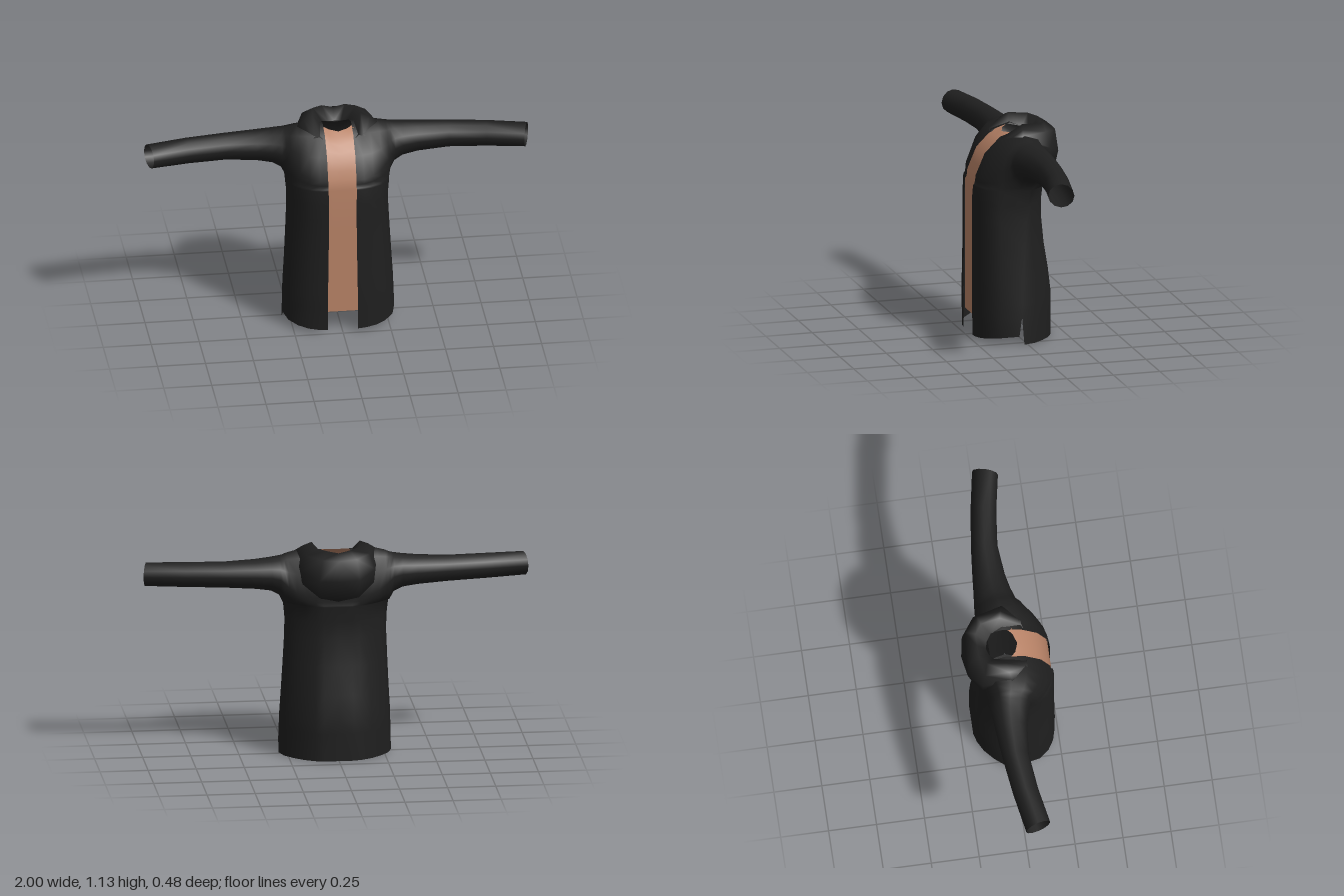
import * as THREE from 'three';
import { mergeGeometries, mergeVertices } from 'three/addons/utils/BufferGeometryUtils.js';

const lerp = THREE.MathUtils.lerp;
const rad = THREE.MathUtils.degToRad;

// Surface through rows of [x, y, z] points
function grid(rows, flip = false) {
  const n = rows[0].length, index = [];
  for (let r = 0; r < rows.length - 1; r++) {
    for (let c = 0; c < n - 1; c++) {
      const a = r * n + c, b = a + 1, d = a + n, e = d + 1;
      if (flip) index.push(a, d, b, b, d, e);
      else index.push(a, b, d, b, e, d);
    }
  }
  const g = new THREE.BufferGeometry();
  g.setAttribute('position', new THREE.Float32BufferAttribute(rows.flat(2), 3));
  g.setIndex(index);
  return g;
}

// The surface and its mirror image across x = 0
function both(rows, flip = false) {
  const mirrored = rows.map((row) => row.map(([x, y, z]) => [-x, y, z]));
  return [grid(rows, flip), grid(mirrored, !flip)];
}

function smooth(parts) {
  const g = mergeVertices(mergeGeometries(parts), 1e-3);
  g.computeVertexNormals();
  return g;
}

// Half outline of the torso, centre to side, as fractions of width and depth
const U = [0, 0.27, 0.42, 0.6, 0.78, 0.93, 1];
const FRONT = [1, 1, 0.98, 0.92, 0.79, 0.57];
const BACK = [1, 1, 0.93, 0.78, 0.53, 0.24];

// Torso rows: y, half width, front z, back z, side seam z
const ROWS = [
  [0.15, 0.29, 0.236, -0.187, 0.03],
  [0.22, 0.288, 0.238, -0.187, 0.025],
  [0.35, 0.28, 0.236, -0.172, 0.02],
  [0.5, 0.272, 0.235, -0.148, 0.01],
  [0.65, 0.265, 0.235, -0.133, 0],
  [0.74, 0.265, 0.236, -0.135, -0.01],
  [0.82, 0.273, 0.23, -0.145, -0.02],
];
const TOP = ROWS[ROWS.length - 1];

function outline([y, w, zf, zb, zs], front) {
  return U.map((u, i) => [u * w, y, i === 6 ? zs : front ? FRONT[i] * zf : BACK[i] * zb]);
}

// Section through the shoulder or sleeve, from the lower front end, over the top,
// to the lower back end. zf, zb and mid place its widest level.
function section(x, low, lowF, lowB, zf, zb, mid, top, skew = 0, slant = 0) {
  const cz = (zf + zb) / 2, rz = (zf - zb) / 2, pts = [];
  for (let deg = -90; deg <= 270; deg += 30) {
    const s = Math.sin(rad(deg)), c = Math.cos(rad(deg));
    const edge = deg < 90 ? zf : zb, end = deg < 90 ? lowF : lowB;
    const z = s < 0 ? lerp(edge, end, 1 - Math.abs(c)) : cz + rz * c - skew * s;
    pts.push([x - slant * c, mid + s * (s < 0 ? mid - low : top - mid), z]);
  }
  return pts;
}

function coatGeometry() {
  // Front panels and back panel, with side slits at the hem
  const frontHem = outline([0.02, 0.292, 0.235, 0, 0.045], true);
  frontHem.forEach((p, i) => { p[1] += 0.03 * Math.pow(U[i], 3); });
  const backHem = outline([0.006, 0.292, 0, -0.186, 0.018], false);
  const front = [frontHem, ...ROWS.map((r) => outline(r, true))].map((r) => r.slice(1));
  const back = [backHem, ...ROWS.map((r) => outline(r, false))];

  // Shoulders, growing out of the top row of the torso: front z, back z, level, top, backward lean
  const shoulders = [
    [0.217, -0.14, 0.87, 1.085, 0.05],
    [0.217, -0.14, 0.87, 1.098, 0.05],
    [0.213, -0.14, 0.87, 1.1, 0.05],
    [0.198, -0.138, 0.88, 1.1, 0.04],
    [0.165, -0.136, 0.9, 1.096, 0.025],
    [0.125, -0.132, 0.93, 1.086, 0.01],
  ];
  const sections = shoulders.map((s, i) =>
    section(U[i] * TOP[1], TOP[0], FRONT[i] * TOP[2], BACK[i] * TOP[3], ...s));

  // Sleeve rings: x, centre z, half depth, bottom, top, cuff slant
  const rings = [
    [TOP[1], TOP[4], 0.113, TOP[0], 1.079, 0],
    [0.295, -0.024, 0.106, 0.865, 1.074, 0],
    [0.34, -0.03, 0.096, 0.89, 1.068, 0],
    [0.42, -0.036, 0.084, 0.903, 1.061, 0],
    [0.58, -0.036, 0.069, 0.914, 1.053, 0],
    [0.78, -0.012, 0.066, 0.917, 1.05, 0.008],
    [0.982, 0.025, 0.065, 0.919, 1.043, 0.018],
  ];
  for (const [x, cz, rz, lo, hi, slant] of rings) {
    sections.push(section(x, lo, cz, cz, cz + rz, cz - rz, (lo + hi) / 2, hi, 0, slant));
  }
  const across = (cols) => cols[0].map((_, j) => cols.map((s) => s[j]));

  return smooth([
    ...both(front),
    ...both(back, true),
    ...both(across(sections.slice(1))),
    ...both(across(sections.slice(0, 2)).slice(7)),
  ]);
}

// Folded hood: sections from the front of the neck round to the back,
// each going from the inner edge over the fold to the tucked lower edge
function hoodGeometry() {
  const stations = [
    [[0.078, 1.05, 0.1], [0.1, 1.066, 0.09], [0.13, 1.062, 0.09], [0.16, 1.05, 0.09], [0.17, 1.03, 0.09], [0.16, 1.0, 0.09]],
    [[0.085, 1.09, 0], [0.125, 1.14, -0.02], [0.17, 1.12, -0.01], [0.207, 1.095, 0], [0.224, 1.07, 0.02], [0.21, 1.03, 0.02]],
    [[0.07, 1.075, -0.075], [0.11, 1.132, -0.12], [0.165, 1.1, -0.135], [0.192, 1.02, -0.15], [0.185, 0.95, -0.15], [0.16, 0.92, -0.11]],
    [[0.035, 1.06, -0.1], [0.06, 1.126, -0.155], [0.09, 1.09, -0.207], [0.105, 0.98, -0.22], [0.1, 0.885, -0.2], [0.08, 0.86, -0.12]],
    [[0, 1.055, -0.11], [0, 1.112, -0.155], [0, 1.085, -0.216], [0, 0.98, -0.238], [0, 0.872, -0.215], [0, 0.845, -0.13]],
  ];
  return smooth(both(stations));
}

// Shirt front: a straight strip that curves back to a scooped neckline
function shirtGeometry() {
  const xs = [-0.095, -0.05, 0, 0.05, 0.095];
  const rows = [0.12, 0.35, 0.6, 0.82].map((y) => xs.map((x) => [x, y, 0.222]));
  for (let k = 0; k <= 6; k++) {
    rows.push(xs.map((x) => {
      const t = rad(lerp(68, 88, Math.pow(x / 0.095, 2))) * k / 6;
      return [x, 0.87 + 0.222 * Math.sin(t), 0.036 + 0.172 * Math.cos(t) - 0.05 * Math.sin(t)];
    }));
  }
  return smooth([grid(rows)]);
}

// Flat lining that closes the inside above the slits, dipping to the shirt hem in front
function liningGeometry() {
  const f = outline(ROWS[0], true), b = outline(ROWS[0], false).reverse();
  const half = [...f, ...b.slice(1)];
  const loop = [...half, ...half.slice(1, -1).reverse().map(([x, y, z]) => [-x, y, z])];
  const shape = new THREE.Shape(loop.map(([x, , z]) => new THREE.Vector2(x * 0.97, -z * 0.93)));
  return new THREE.ShapeGeometry(shape).rotateX(-Math.PI / 2 + 0.16).translate(0, 0.155, 0);
}

export function createModel() {
  const coatBlack = new THREE.MeshStandardMaterial({ color: 0x1f1f1f, side: THREE.DoubleSide });
  coatBlack.name = 'coat black';
  const shirtTan = new THREE.MeshStandardMaterial({ color: 0xba8468, side: THREE.DoubleSide });
  shirtTan.name = 'shirt tan';

  const model = new THREE.Group();
  model.name = 'hoodedCoat';
  const add = (name, geometry, material) => {
    const mesh = new THREE.Mesh(geometry, material);
    mesh.name = name;
    model.add(mesh);
  };
  add('coat', coatGeometry(), coatBlack);
  add('hood', hoodGeometry(), coatBlack);
  add('lining', liningGeometry(), coatBlack);
  add('shirtFront', shirtGeometry(), shirtTan);
  return model;
}
